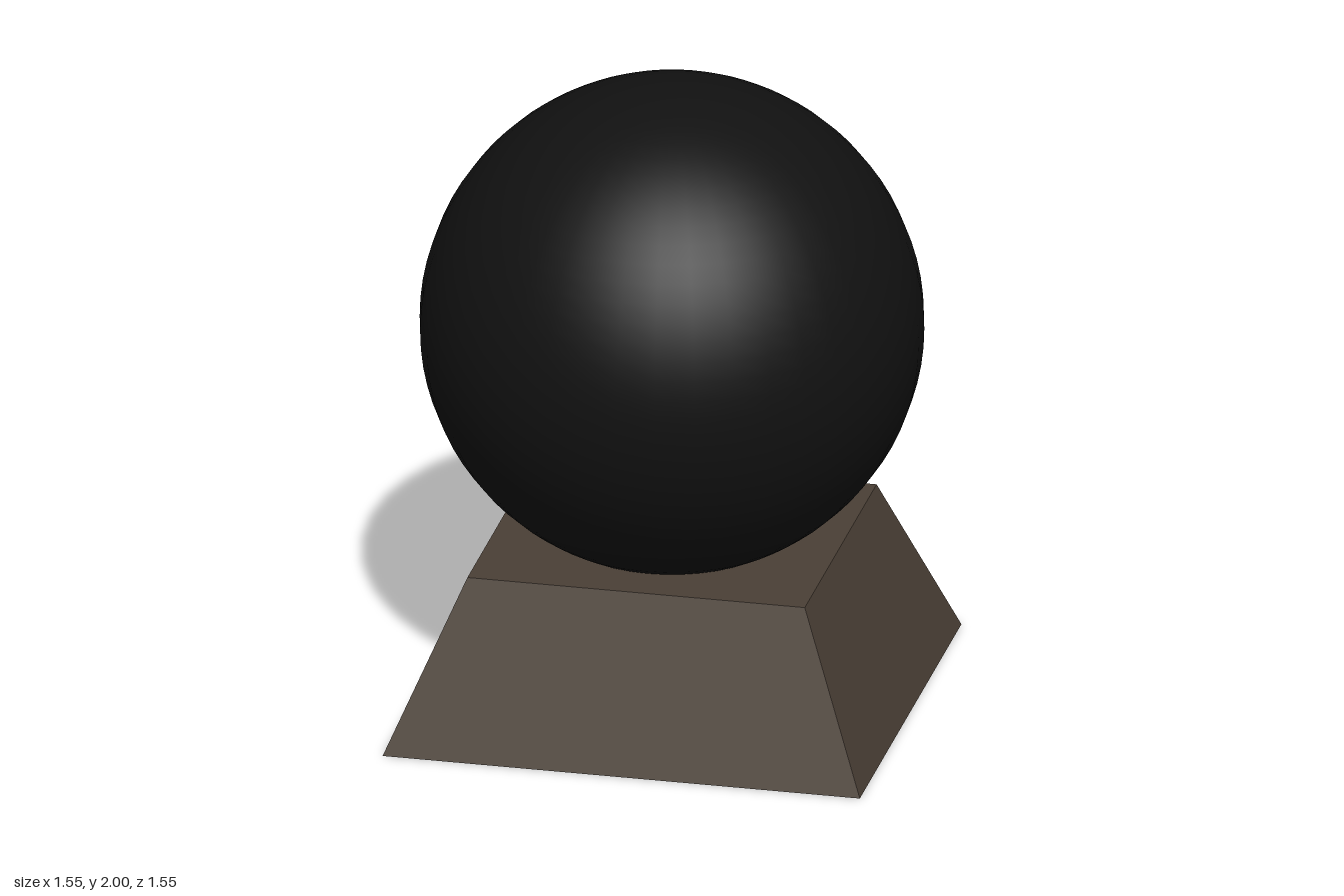
import * as THREE from 'three';

export function createModel() {
  const model = new THREE.Group();

  // Tapered pedestal: a box with its upper corners drawn inward
  const height = 0.53, taper = 0.707;
  const baseGeo = new THREE.BoxGeometry(1.5, height, 1.4);
  baseGeo.translate(0, height / 2, 0);
  const pos = baseGeo.attributes.position;
  for (let i = 0; i < pos.count; i++) {
    if (pos.getY(i) > height / 2) {
      pos.setX(i, pos.getX(i) * taper);
      pos.setZ(i, pos.getZ(i) * taper);
    }
  }
  baseGeo.computeVertexNormals();
  const base = new THREE.Mesh(baseGeo, new THREE.MeshStandardMaterial({ color: 0x4a3f35 }));
  base.name = 'pedestal';
  model.add(base);

  // Dark ball resting in the pedestal
  const radius = 0.775;
  const ball = new THREE.Mesh(
    new THREE.SphereGeometry(radius, 40, 40),
    new THREE.MeshStandardMaterial({ color: 0x111111 })
  );
  ball.position.y = 2 - radius;
  ball.name = 'ball';
  model.add(ball);

  return model;
}
